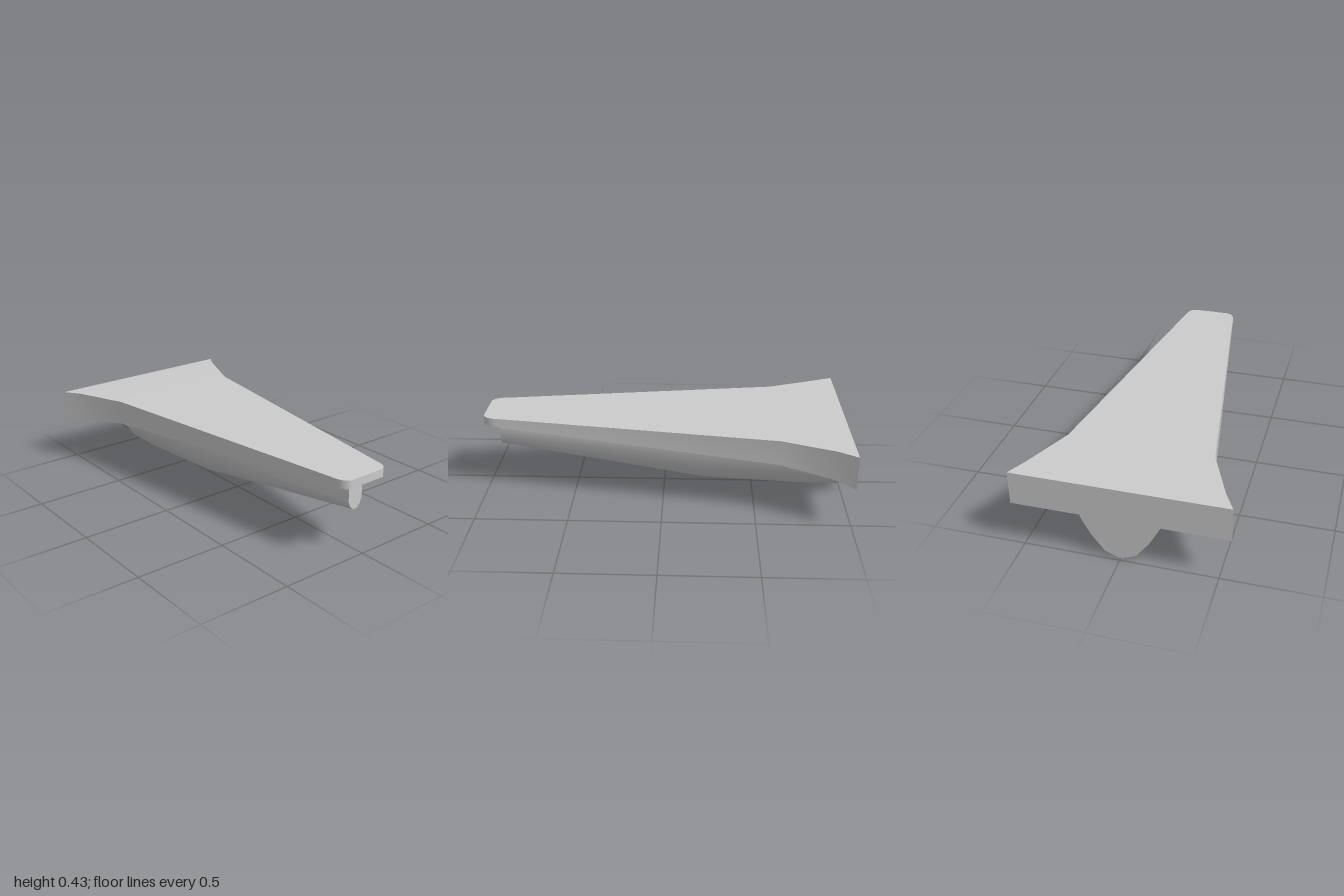
import * as THREE from 'three';
import { toCreasedNormals } from 'three/addons/utils/BufferGeometryUtils.js';

const material = new THREE.MeshStandardMaterial({ color: 0xcccccc });

// Lofts mirrored cross-sections, given from back to front as { z, half },
// where half lists [x, y] up the +x side from bottom to top.
function loft(name, sections, creaseAngle) {
  const positions = [];
  const index = [];
  let n = 0;
  for (const { z, half } of sections) {
    const mirrored = half.filter(([x]) => x > 0).reverse().map(([x, y]) => [-x, y]);
    const ring = [...half, ...mirrored];
    n = ring.length;
    for (const [x, y] of ring) positions.push(x, y, z);
  }
  const last = (sections.length - 1) * n;
  for (let i = 0; i < last; i += n) {
    for (let j = 0; j < n; j++) {
      const k = (j + 1) % n;
      index.push(i + j, i + k, i + n + k, i + j, i + n + k, i + n + j);
    }
  }
  // End caps
  for (let j = 1; j < n - 1; j++) {
    index.push(0, j + 1, j);
    index.push(last, last + j, last + j + 1);
  }
  const geometry = new THREE.BufferGeometry();
  geometry.setAttribute('position', new THREE.Float32BufferAttribute(positions, 3));
  geometry.setIndex(index);
  const mesh = new THREE.Mesh(toCreasedNormals(geometry, creaseAngle), material);
  mesh.name = name;
  return mesh;
}

// Flat-topped deck: flared at the back, tapering to a rounded front
function createDeck() {
  const section = (z, width, bottom, top = 0.435) => ({ z, half: [[width, bottom], [width, top]] });
  const underside = (z) => 0.297 + (z + 0.62) * 0.0574;
  const sections = [
    section(-1, 0.555, 0.247, 0.43),
    section(-0.9, 0.5, 0.272),
    section(-0.62, 0.385, underside(-0.62)),
  ];
  // Rounded front corners
  const steps = 8;
  for (let i = 0; i <= steps; i++) {
    const a = (i / steps) * Math.PI / 2;
    const z = 0.91 + 0.09 * Math.sin(a);
    sections.push(section(z, 0.1 + 0.055 * Math.cos(a), underside(z)));
  }
  return loft('deck', sections, Math.PI / 6);
}

// Keel-shaped body under the deck, narrowing and rising to the front
function createKeel() {
  const top = 0.343;
  const sections = [
    { z: -0.985, half: [[0, 0.003], [0.08, 0.035], [0.148, 0.125], [0.2, 0.222], [0.2, top]] },
    { z: -0.75, half: [[0, 0.005], [0.08, 0.037], [0.148, 0.127], [0.2, 0.223], [0.2, top]] },
    { z: -0.22, half: [[0, 0.035], [0.07, 0.06], [0.133, 0.14], [0.18, 0.23], [0.18, top]] },
    { z: 0.93, half: [[0, 0.222], [0.018, 0.228], [0.033, 0.245], [0.045, 0.275], [0.045, top]] },
  ];
  return loft('keel', sections, Math.PI * 0.28);
}

export function createModel() {
  const model = new THREE.Group();
  model.name = 'taperedDeckWithKeel';
  model.add(createDeck(), createKeel());
  return model;
}
